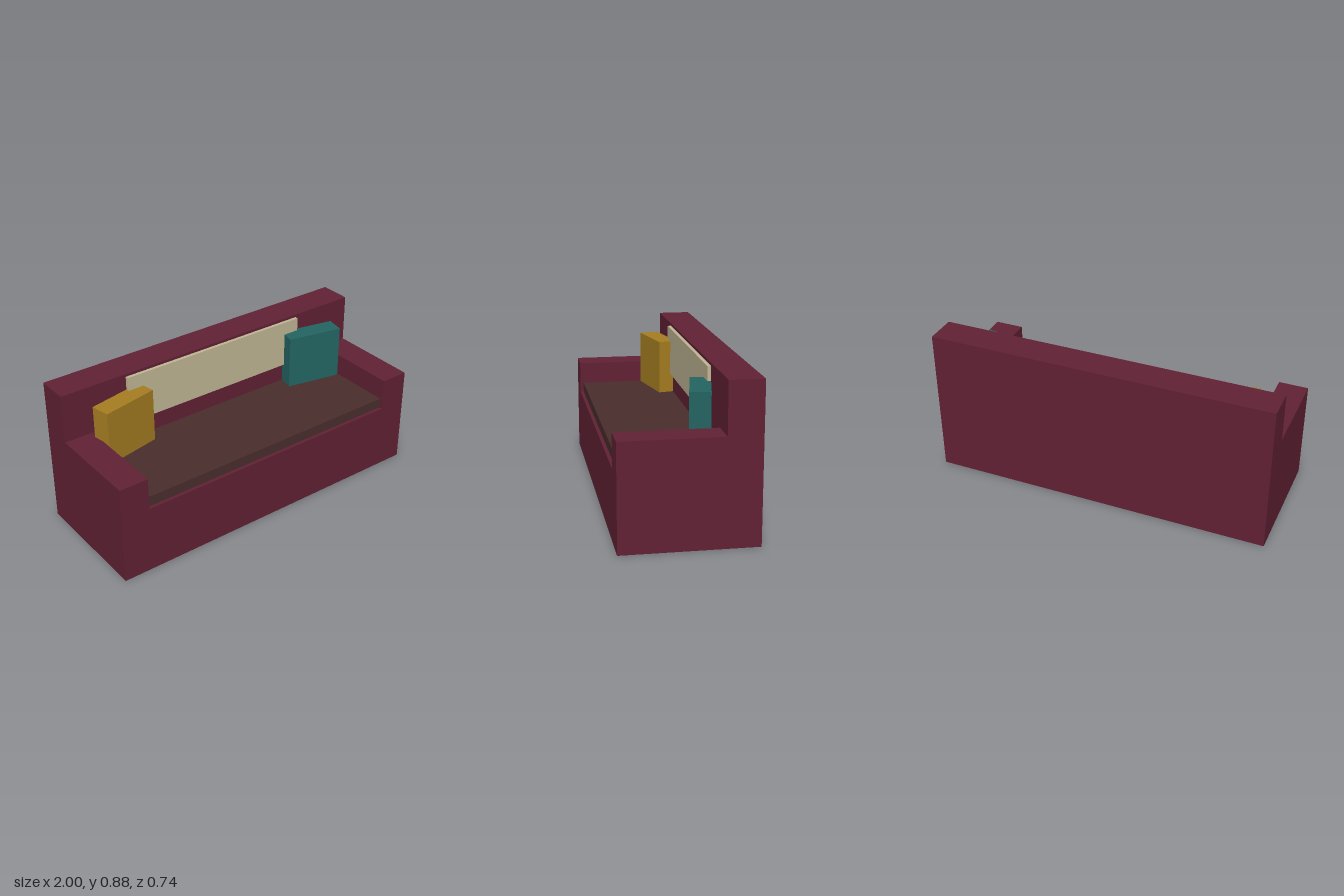
import * as THREE from 'three';

const material = (name, color) => {
  const m = new THREE.MeshStandardMaterial({ color });
  m.name = name;
  return m;
};

export function createModel() {
  const sofa = new THREE.Group();
  sofa.name = 'sofa';

  const burgundy = material('burgundy', 0x612134);
  const brown = material('darkBrown', 0x4a2d2d);
  const cream = material('cream', 0xc1b694);
  const mustard = material('mustard', 0xa57d21);
  const teal = material('teal', 0x236461);

  const add = (name, geometry, mat) => {
    const mesh = new THREE.Mesh(geometry, mat);
    mesh.name = name;
    sofa.add(mesh);
    return mesh;
  };

  // Box given by its limits on each axis
  const addBox = (name, mat, [x0, x1], [y0, y1], [z0, z1]) => {
    const mesh = add(name, new THREE.BoxGeometry(x1 - x0, y1 - y0, z1 - z0), mat);
    mesh.position.set((x0 + x1) / 2, (y0 + y1) / 2, (z0 + z1) / 2);
    return mesh;
  };

  // Base and arms in one U-shaped profile, running from the backrest to the front
  const profile = new THREE.Shape([
    [-1, 0], [1, 0], [1, 0.59], [0.83, 0.59],
    [0.83, 0.4], [-0.83, 0.4], [-0.83, 0.59], [-1, 0.59],
  ].map(([x, y]) => new THREE.Vector2(x, y)));
  const frame = new THREE.ExtrudeGeometry(profile, { depth: 0.553, bevelEnabled: false });
  add('baseAndArms', frame, burgundy).position.z = -0.183;

  addBox('backrest', burgundy, [-1, 1], [0, 0.876], [-0.37, -0.183]);
  addBox('seatCushion', brown, [-0.83, 0.83], [0.4, 0.46], [-0.183, 0.35]);
  addBox('backPanel', cream, [-0.6, 0.6], [0.575, 0.86], [-0.183, -0.163]);

  // Throw pillows, turned inwards at each end of the seat
  for (const [name, mat, side] of [['rightPillow', mustard, -1], ['leftPillow', teal, 1]]) {
    const pillow = add(name, new THREE.BoxGeometry(0.339, 0.32, 0.113), mat);
    pillow.position.set(side * 0.665, 0.62, -0.113);
    pillow.rotation.y = -side * 0.2;
  }

  return sofa;
}
